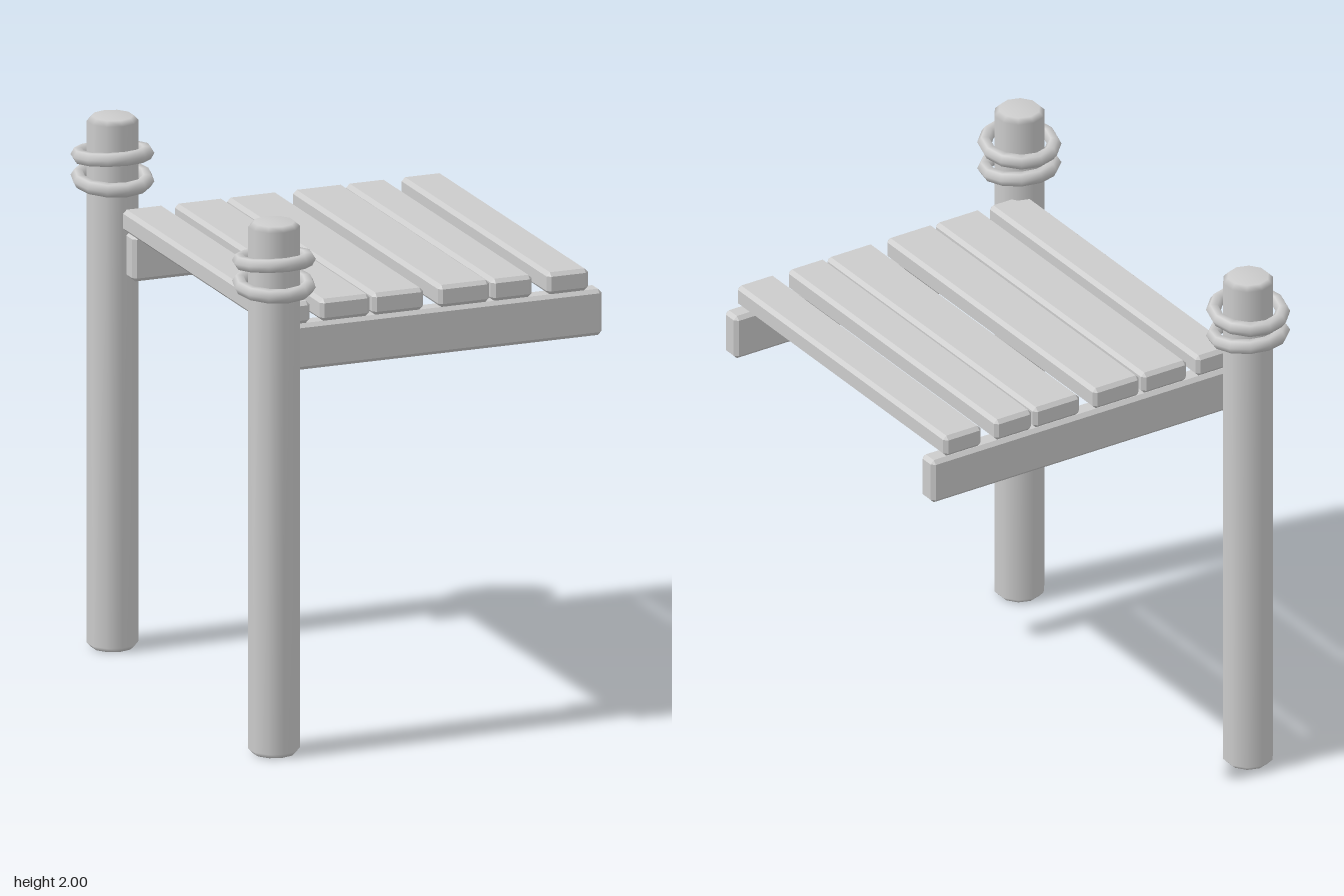
import * as THREE from 'three';
import { ConvexGeometry } from 'three/addons/geometries/ConvexGeometry.js';

// Box with chamfered edges, given by its min and max corners
function chamferBox(min, max, c = 0.014) {
  const half = max.map((v, i) => (v - min[i]) / 2);
  const points = [];
  for (let axis = 0; axis < 3; axis++)
    for (const sx of [-1, 1]) for (const sy of [-1, 1]) for (const sz of [-1, 1]) {
      const p = half.map((h, i) => (i === axis ? h : h - c));
      points.push(new THREE.Vector3(sx * p[0], sy * p[1], sz * p[2]));
    }
  const geometry = new ConvexGeometry(points);
  geometry.translate(...max.map((v, i) => (v + min[i]) / 2));
  return geometry;
}

export function createModel() {
  const model = new THREE.Group();
  model.name = 'dock';
  const wood = new THREE.MeshStandardMaterial({ color: 0xcccccc });
  wood.name = 'pale grey';

  const add = (parent, name, geometry) => {
    const mesh = new THREE.Mesh(geometry, wood);
    mesh.name = name;
    parent.add(mesh);
    return mesh;
  };

  // Posts with two tilted rope rings each
  const profile = [[0, 0], [0.076, 0], [0.094, 0.018], [0.094, 1.982], [0.076, 2], [0, 2]]
    .map(([r, y]) => new THREE.Vector2(r, y));
  const postGeometry = new THREE.LatheGeometry(profile, 10);
  const ringGeometry = new THREE.TorusGeometry(0.126, 0.027, 6, 12).rotateX(Math.PI / 2);
  for (const side of [1, -1]) {
    const group = new THREE.Group();
    group.name = side > 0 ? 'frontPost' : 'backPost';
    group.position.set(-0.583, 0, side * 0.752);
    add(group, 'post', postGeometry);
    for (const [y, tilt] of [[1.857, -0.1], [1.765, 0.1]]) {
      const ring = add(group, 'ropeRing', ringGeometry);
      ring.position.y = y;
      ring.rotation.x = tilt;
    }
    model.add(group);
  }

  // Support beams under the deck
  add(model, 'frontBeam', chamferBox([-0.57, 1.412, 0.627], [0.728, 1.586, 0.707]));
  add(model, 'backBeam', chamferBox([-0.57, 1.412, -0.667], [0.728, 1.586, -0.587]));

  // Deck planks of uneven width: left and right edge of each
  const planks = [[-0.583, -0.42], [-0.38, -0.185], [-0.175, 0.026],
    [0.084, 0.285], [0.292, 0.453], [0.51, 0.673]];
  for (const [x0, x1] of planks)
    add(model, 'plank', chamferBox([x0, 1.587, -0.666], [x1, 1.67, 0.71]));

  return model;
}
